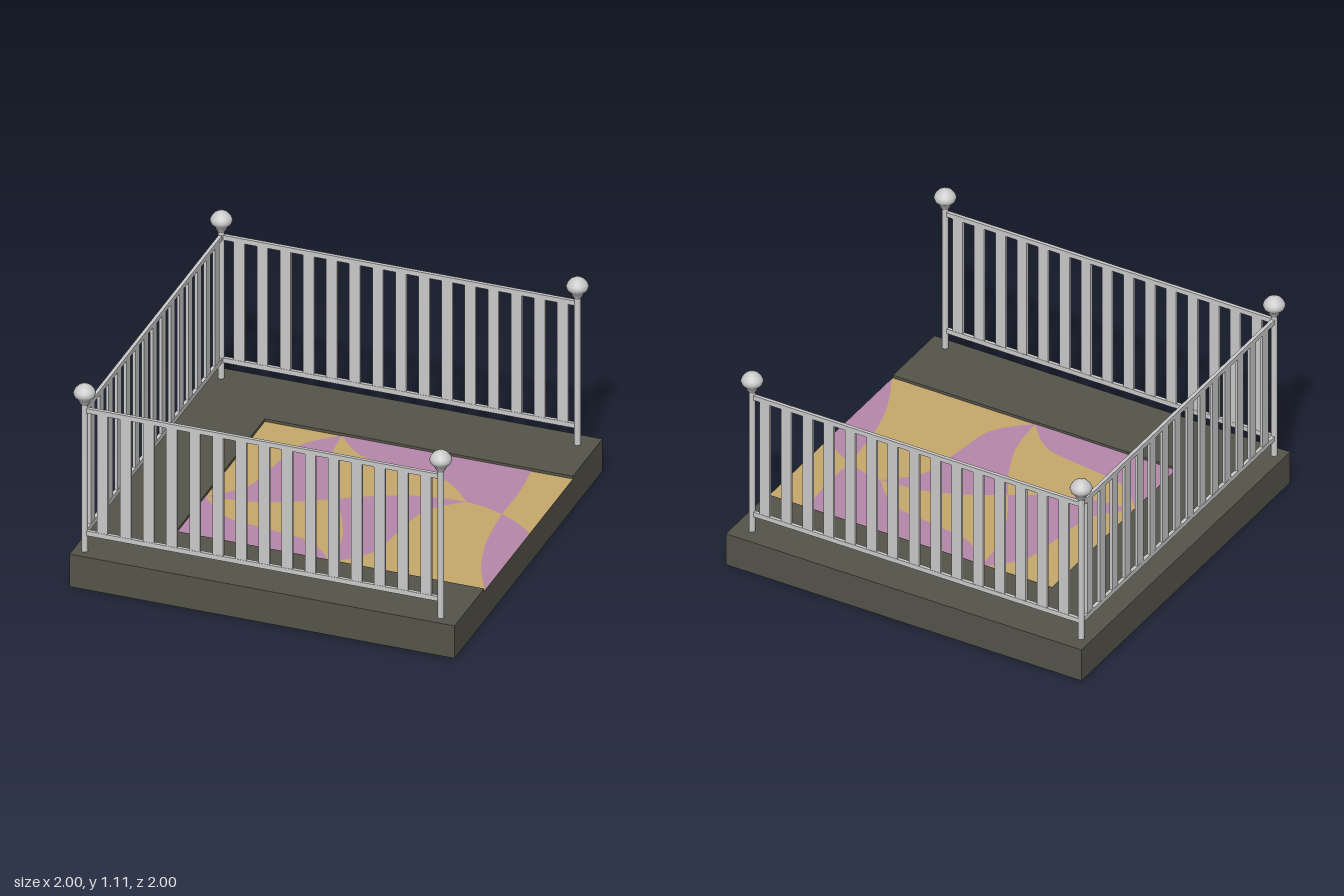
import * as THREE from 'three';

const material = (name, color) => {
  const m = new THREE.MeshStandardMaterial({ color });
  m.name = name;
  return m;
};

export function createModel() {
  const model = new THREE.Group();
  model.name = 'railedPlatform';
  const stone = material('dark stone', 0x55544a);
  const metal = material('pale metal', 0xcacaca);
  const ochre = material('ochre tile', 0xc6a86b);
  const mauve = material('mauve tile', 0xb687ab);

  const add = (parent, name, geometry, mat, x = 0, y = 0, z = 0) => {
    const mesh = new THREE.Mesh(geometry, mat);
    mesh.name = name;
    mesh.position.set(x, y, z);
    parent.add(mesh);
    return mesh;
  };

  // Flat outline from [x, z] points, turned to face up
  const outline = (pts) => new THREE.Shape(pts.map(([x, z]) => new THREE.Vector2(x, -z)));

  // Platform with a shallow recess open on the +x side
  const floorY = 0.164, topY = 0.18;
  add(model, 'baseSlab', new THREE.BoxGeometry(2, floorY, 2), stone, 0, floorY / 2, 0);
  const rim = new THREE.ExtrudeGeometry(outline([
    [-1, -1], [1, -1], [1, -0.6], [-0.6, -0.6], [-0.6, 0.6], [1, 0.6], [1, 1], [-1, 1],
  ]), { depth: topY - floorY, bevelEnabled: false });
  add(model, 'baseRim', rim.rotateX(-Math.PI / 2), stone, 0, floorY, 0);

  // Tiled floor: ochre ground with mauve curved inlays
  const floor = new THREE.Group();
  floor.name = 'tiledFloor';
  model.add(floor);
  add(floor, 'ochreGround', new THREE.PlaneGeometry(1.6, 1.2).rotateX(-Math.PI / 2),
    ochre, 0.2, floorY + 0.001, 0);

  const smooth = (pts) => new THREE.SplineCurve(pts.map((p) => new THREE.Vector2(...p)))
    .getPoints(24).map((v) => [v.x, v.y]);
  const turn = (pts, k) => {
    let r = pts;
    for (let i = 0; i < k; i++) r = r.map(([x, z]) => [-z, x]);
    return r;
  };
  const spoke = smooth([[0, 0], [-0.1, -0.18], [-0.175, -0.38], [-0.2, -0.6]]);
  const edge = smooth([[-0.2, -0.6], [-0.1, -0.49], [0, -0.43], [0.2, -0.4],
    [0.4, -0.37], [0.5, -0.31], [0.6, -0.2]]);
  const sail = (k) => [...turn(spoke, k), ...turn(edge, k), ...turn(spoke, (k + 1) % 4).reverse()];
  const inlays = {
    rightSail: sail(1),
    leftSail: sail(3),
    backField: [...edge, [0.7, -0.185], [0.805, -0.145],
      ...smooth([[0.805, -0.145], [0.806, -0.38], [0.785, -0.6]])],
    cornerField: [...turn(edge, 2), [-0.6, 0.6]],
    sideField: [...smooth([[0.805, -0.145], [0.9, -0.095], [1, -0.015]]),
      ...smooth([[1, 0.59], [0.9, 0.38], [0.835, 0.14], [0.805, -0.145]])],
  };
  for (const [name, pts] of Object.entries(inlays)) {
    add(floor, name, new THREE.ShapeGeometry(outline(pts)).rotateX(-Math.PI / 2),
      mauve, 0, floorY + 0.003, 0);
  }

  // Corner posts with rounded finials
  const left = -0.945, right = 0.905, back = -0.91, front = 0.94;
  const postGeometry = new THREE.CylinderGeometry(0.016, 0.016, 0.83, 16);
  const finialGeometry = new THREE.LatheGeometry([
    [0.016, 0.99], [0.026, 1.005], [0.032, 1.02], [0.05, 1.038], [0.056, 1.056],
    [0.05, 1.072], [0.035, 1.09], [0.018, 1.101], [0, 1.105],
  ].map((p) => new THREE.Vector2(...p)), 20);
  for (const x of [left, right]) {
    for (const z of [back, front]) {
      const post = new THREE.Group();
      post.name = 'post';
      post.position.set(x, 0, z);
      add(post, 'postShaft', postGeometry, metal, 0, topY + 0.415, 0);
      add(post, 'finial', finialGeometry, metal);
      model.add(post);
    }
  }

  // One railing: two rails and fifteen flat balusters, starting at its origin
  const railGeometry = new THREE.BoxGeometry(1.85, 0.026, 0.018);
  const slatGeometry = new THREE.BoxGeometry(0.056, 0.67, 0.015);
  const railing = (name, x, z, angle) => {
    const g = new THREE.Group();
    g.name = name;
    add(g, 'bottomRail', railGeometry, metal, 0.925, 0.282, 0);
    add(g, 'topRail', railGeometry, metal, 0.925, 0.962, 0);
    for (let i = 0; i < 15; i++) {
      add(g, 'baluster', slatGeometry, metal, 0.095 + i * 0.12, 0.622, 0);
    }
    g.position.set(x, 0, z);
    g.rotation.y = angle;
    model.add(g);
  };
  railing('frontRailing', left, front, 0);
  railing('backRailing', left, back, 0);
  railing('sideRailing', left, front, Math.PI / 2);

  return model;
}
